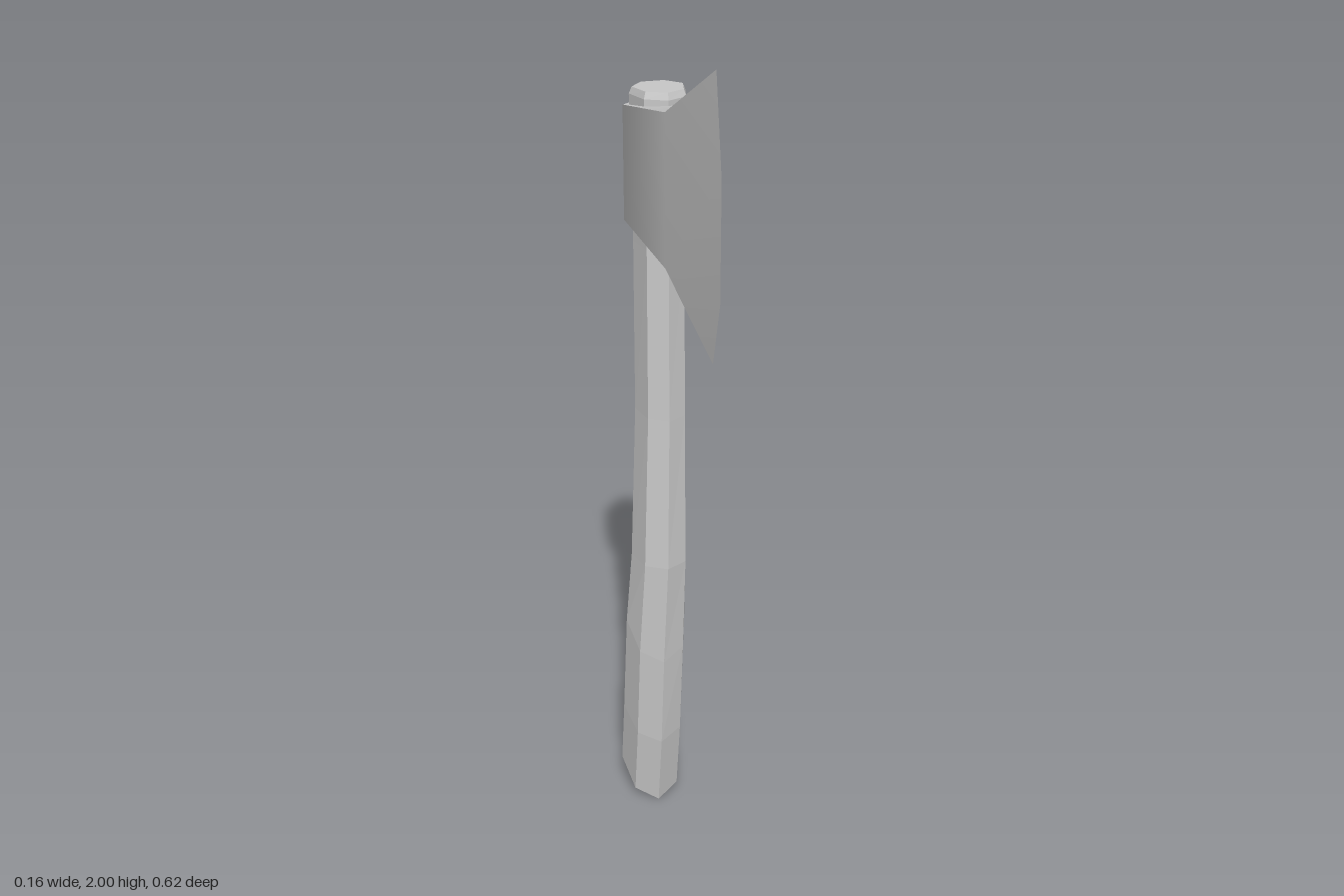
import * as THREE from 'three';
import { toCreasedNormals } from 'three/addons/utils/BufferGeometryUtils.js';

// Collects flat polygons (fans of corners) into a non-indexed geometry
function polygons(list) {
  const pos = [];
  for (const p of list)
    for (let i = 1; i < p.length - 1; i++) pos.push(...p[0], ...p[i], ...p[i + 1]);
  const g = new THREE.BufferGeometry();
  g.setAttribute('position', new THREE.Float32BufferAttribute(pos, 3));
  g.computeVertexNormals();
  return g;
}

// Curved seven-sided handle, lofted from tilted cross-sections
function handleGeometry() {
  // section corners: [sideways -1..1, front-to-back 0..1]
  const section = [[0, 0], [0.74, 0.2], [1, 0.67], [0.46, 1], [-0.46, 1], [-1, 0.67], [-0.74, 0.2]];
  // front z, front y, back z, back y, centre x, half width
  const rows = [
    [-0.17, 0, -0.309, 0.12, -0.008, 0.073],
    [-0.135, 0.2, -0.277, 0.29, -0.008, 0.073],
    [-0.11, 0.45, -0.237, 0.57, -0.007, 0.072],
    [-0.09, 0.72, -0.23, 0.72, -0.001, 0.066],
    [-0.095, 1.1, -0.232, 1.1, 0.004, 0.058],
    [-0.102, 1.5, -0.243, 1.5, 0.005, 0.057],
    [-0.107, 1.835, -0.26, 1.822, 0.007, 0.062],
    [-0.114, 1.85, -0.254, 1.837, 0.007, 0.056],
  ];
  const rings = rows.map(([fz, fy, bz, by, cx, hw]) =>
    section.map(([u, t]) => [cx + u * hw, fy + (by - fy) * t, fz + (bz - fz) * t]));
  const faces = [[...rings[0]].reverse(), rings[rings.length - 1]];
  for (let r = 0; r < rings.length - 1; r++)
    for (let j = 0; j < 7; j++) {
      const k = (j + 1) % 7, a = rings[r], b = rings[r + 1];
      faces.push([a[j], a[k], b[k], b[j]]);
    }
  return polygons(faces);
}

// Wedge head: pointed poll, wide eye, flaring blade with a sharp bit
function headGeometry() {
  const cx = 0.007;
  // z, half width, top y, bottom y
  const poll = [-0.297, 0, 1.79, 1.55], eye = [-0.22, 0.0735, 1.8, 1.542], cheek = [0.02, 0.04, 1.85, 1.515];
  const bit = [[cx, 2, 0.265], [cx, 1.8, 0.31], [cx, 1.545, 0.31], [cx, 1.395, 0.26]];
  const top = (c, s) => [cx + s * c[1], c[2], c[0]];
  const low = (c, s) => [cx + s * c[1], c[3], c[0]];
  const faces = [];
  // sides, mirrored across the blade plane
  for (const s of [1, -1]) {
    const side = [
      [top(poll, s), top(eye, s), low(eye, s), low(poll, s)],
      [top(eye, s), top(cheek, s), low(cheek, s), low(eye, s)],
      [top(cheek, s), bit[0], bit[1]],
      [top(cheek, s), bit[1], bit[2], low(cheek, s)],
      [low(cheek, s), bit[2], bit[3]],
    ];
    for (const f of side) faces.push(s > 0 ? f : f.reverse());
  }
  // upper and lower faces
  for (const [at, tip, up] of [[top, bit[0], true], [low, bit[3], false]]) {
    const caps = [
      [at(poll, 1), at(eye, -1), at(eye, 1)],
      [at(eye, 1), at(eye, -1), at(cheek, -1), at(cheek, 1)],
      [at(cheek, 1), at(cheek, -1), tip],
    ];
    for (const f of caps) faces.push(up ? f : f.reverse());
  }
  return toCreasedNormals(polygons(faces), 1.05);
}

export function createModel() {
  const group = new THREE.Group();
  group.name = 'axe';
  const add = (name, geometry, flatShading) => {
    const mesh = new THREE.Mesh(geometry, new THREE.MeshStandardMaterial({ color: 0xcccccc, flatShading }));
    mesh.name = name;
    group.add(mesh);
  };
  add('handle', handleGeometry(), true);
  add('axeHead', headGeometry(), false);
  return group;
}
